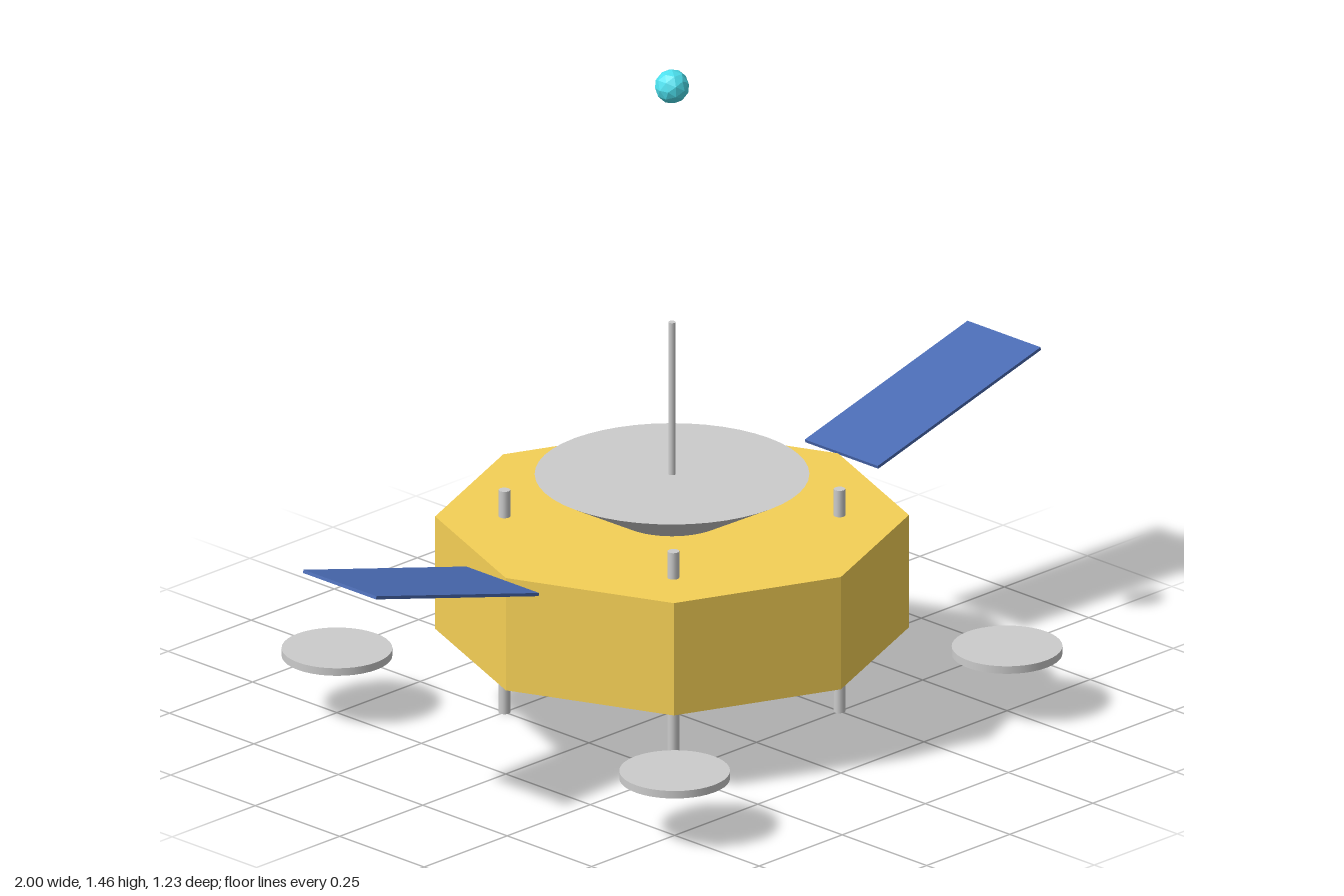
import * as THREE from 'three';

const grey = new THREE.MeshStandardMaterial({ color: 0xcccccc });
const gold = new THREE.MeshStandardMaterial({ color: 0xf5d056, flatShading: true });
const blue = new THREE.MeshStandardMaterial({ color: 0x4a6bb4 });
const cyan = new THREE.MeshStandardMaterial({ color: 0x4de0ee, flatShading: true });

export function createModel() {
  const model = new THREE.Group();
  model.name = 'lander';

  const add = (name, geometry, material, x, y, z) => {
    const mesh = new THREE.Mesh(geometry, material);
    mesh.name = name;
    mesh.position.set(x, y, z);
    model.add(mesh);
    return mesh;
  };
  // Upright cylinder or cone given by its bottom and top heights
  const post = (name, rTop, rBottom, y0, y1, sides, material, x = 0, z = 0) =>
    add(name, new THREE.CylinderGeometry(rTop, rBottom, y1 - y0, sides), material, x, (y0 + y1) / 2, z);

  // Octagonal body with corners on the axes
  post('body', 0.5, 0.5, 0.19, 0.445, 8, gold);

  // Dish: a cone standing on its tip, sunk into the body
  post('dish', 0.29, 0, 0.38, 0.54, 48, grey);
  post('antenna', 0.008, 0.008, 0.5, 0.885, 12, grey);

  // Beacon floating above the antenna
  add('beacon', new THREE.IcosahedronGeometry(0.037, 1), cyan, 0, 1.42, 0);

  for (const sx of [-1, 1]) {
    const side = sx > 0 ? 'left' : 'right';

    // Solar panel, raised outwards
    const panel = add(side + 'SolarPanel', new THREE.BoxGeometry(0.507, 0.007, 0.216), blue, sx * 0.755, 0.506, 0);
    panel.rotation.z = sx * THREE.MathUtils.degToRad(15);

    // Legs pass through the body; foot pads sit further out
    for (const sz of [-1, 1]) {
      const end = sz > 0 ? 'Front' : 'Back';
      post(side + end + 'Leg', 0.0125, 0.0125, 0, 0.505, 16, grey, sx * 0.25, sz * 0.25);
      post(side + end + 'FootPad', 0.117, 0.117, 0.13, 0.147, 40, grey, sx * 0.5, sz * 0.5);
    }
  }
  return model;
}
